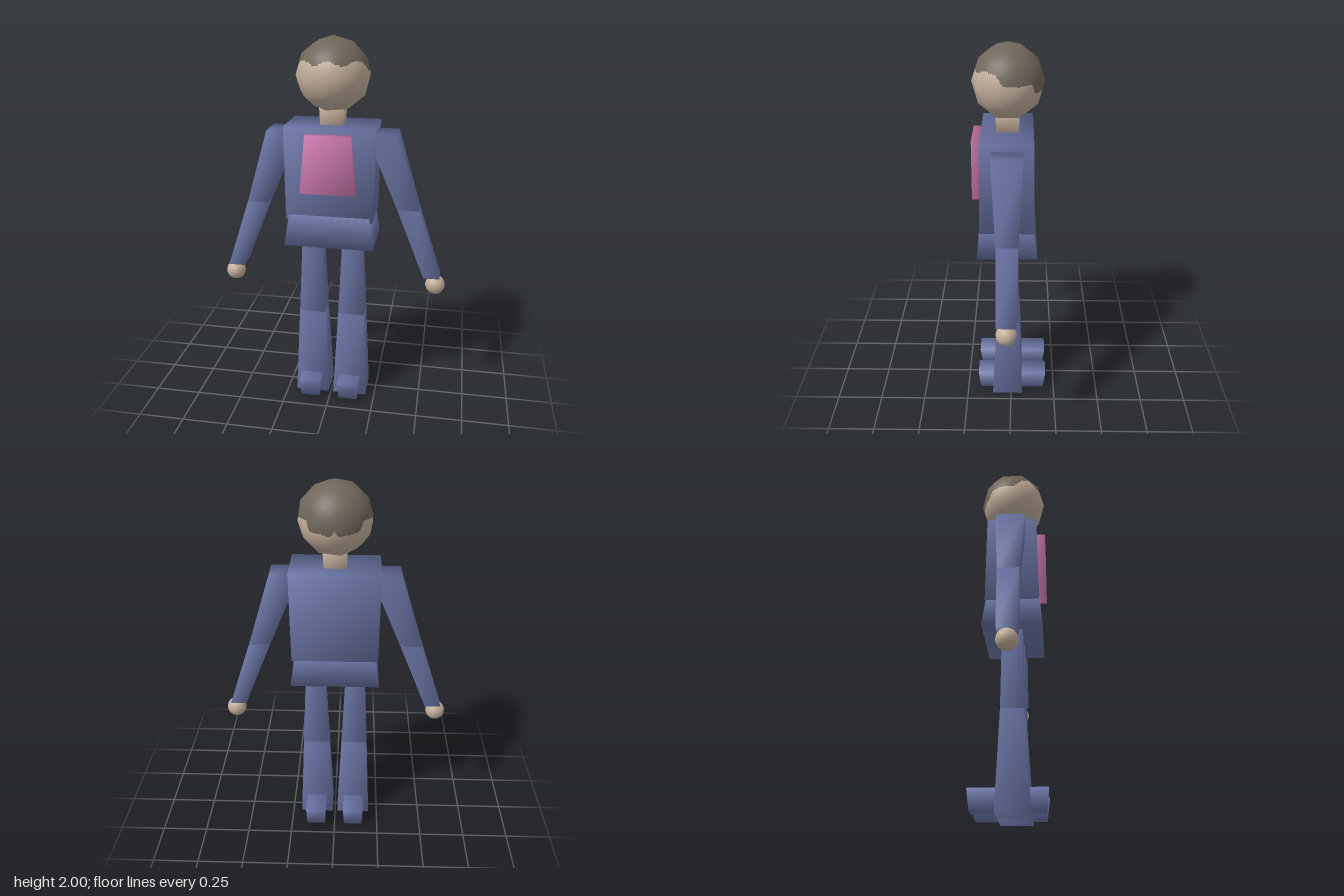
import * as THREE from 'three';
import { mergeVertices } from 'three/addons/utils/BufferGeometryUtils.js';

const material = (name, color) => {
  const m = new THREE.MeshStandardMaterial({ color });
  m.name = name;
  return m;
};

// Welds the corners so that shading runs softly over the edges
function soften(geometry) {
  geometry.deleteAttribute('normal');
  geometry.deleteAttribute('uv');
  const welded = mergeVertices(geometry, 1e-4);
  welded.computeVertexNormals();
  return welded;
}

// Tapered block between two level rectangles, each [y, x0, x1, z0, z1]
function block(name, mat, top, bottom, side = 1) {
  const g = new THREE.BoxGeometry(1, 1, 1);
  const p = g.attributes.position;
  const place = ([y, x0, x1, z0, z1], i) => {
    const [lo, hi] = side > 0 ? [x0, x1] : [-x1, -x0];
    p.setXYZ(i, p.getX(i) > 0 ? hi : lo, y, p.getZ(i) > 0 ? z1 : z0);
  };
  for (let i = 0; i < p.count; i++) place(p.getY(i) > 0 ? top : bottom, i);
  const mesh = new THREE.Mesh(soften(g), mat);
  mesh.name = name;
  return mesh;
}

// Hairline height at an angle in degrees away from the face
const HAIRLINE = [[0, 1.895], [25, 1.868], [50, 1.89], [70, 1.88], [85, 1.83],
  [130, 1.83], [138, 1.785], [174, 1.77], [180, 1.80]];
function hairline(angle) {
  let i = 1;
  while (i < HAIRLINE.length - 1 && HAIRLINE[i][0] < angle) i++;
  const [a0, y0] = HAIRLINE[i - 1], [a1, y1] = HAIRLINE[i];
  return THREE.MathUtils.mapLinear(angle, a0, a1, y0, y1);
}

// Faceted ball with a corner at the top; faces are split finely to cut the hairline
function makeHead(skin, hair) {
  const centre = new THREE.Vector3(0, 1.81, 0.015);
  const ball = new THREE.IcosahedronGeometry(0.19, 1);
  ball.rotateX(-Math.atan2((1 + Math.sqrt(5)) / 2, 1)).rotateY(Math.PI / 2).scale(1, 1, 0.95);
  const src = ball.attributes.position, n = 10;
  const sets = { skin: { p: [], n: [] }, hair: { p: [], n: [] } };
  for (let f = 0; f < src.count; f += 3) {
    const [a, b, c] = [0, 1, 2].map(k => new THREE.Vector3().fromBufferAttribute(src, f + k));
    const at = (i, j) => a.clone().multiplyScalar((n - i - j) / n)
      .addScaledVector(b, i / n).addScaledVector(c, j / n);
    const add = (...corners) => {
      const mid = corners[0].clone().add(corners[1]).add(corners[2]).divideScalar(3);
      const angle = THREE.MathUtils.radToDeg(Math.atan2(Math.abs(mid.x), mid.z));
      const set = mid.y + centre.y > hairline(angle) ? sets.hair : sets.skin;
      for (const v of corners) {
        set.n.push(...v.clone().normalize().toArray());
        set.p.push(...v.toArray());
      }
    };
    for (let i = 0; i < n; i++) {
      for (let j = 0; j < n - i; j++) {
        add(at(i, j), at(i + 1, j), at(i, j + 1));
        if (i + j < n - 1) add(at(i + 1, j), at(i + 1, j + 1), at(i, j + 1));
      }
    }
  }
  const head = new THREE.Group();
  head.name = 'head';
  head.position.copy(centre);
  for (const [name, mat, set] of [['face', skin, sets.skin], ['hair', hair, sets.hair]]) {
    const g = new THREE.BufferGeometry();
    g.setAttribute('position', new THREE.Float32BufferAttribute(set.p, 3));
    g.setAttribute('normal', new THREE.Float32BufferAttribute(set.n, 3));
    const mesh = new THREE.Mesh(g, mat);
    mesh.name = name;
    head.add(mesh);
  }
  return head;
}

export function createModel() {
  const model = new THREE.Group();
  model.name = 'figure';
  const blue = material('suit blue', 0x6a74a4);
  const pink = material('chest pink', 0xcb78ae);
  const skin = material('skin', 0xc2ae9a);
  const hair = material('hair brown', 0x70665a);

  // Trunk
  model.add(
    makeHead(skin, hair),
    block('neck', skin, [1.66, -0.062, 0.062, -0.042, 0.078], [1.54, -0.057, 0.057, -0.038, 0.073]),
    block('torso', blue, [1.565, -0.232, 0.232, -0.113, 0.152], [1.08, -0.226, 0.226, -0.122, 0.16]),
    block('hips', blue, [1.105, -0.21, 0.21, -0.115, 0.161], [0.935, -0.235, 0.235, -0.137, 0.176]),
    block('chestPack', pink, [1.535, -0.115, 0.115, 0.13, 0.198], [1.235, -0.143, 0.143, 0.13, 0.198]),
  );

  // Limbs, mirrored
  for (const [side, label] of [[1, 'left'], [-1, 'right']]) {
    const elbow = [1.13, 0.345, 0.457, -0.04, 0.07];
    const knee = [0.5, 0.037, 0.18, -0.042, 0.077];
    model.add(
      block(label + 'UpperArm', blue, [1.53, 0.18, 0.334, -0.061, 0.095], elbow, side),
      block(label + 'Forearm', blue, elbow, [0.75, 0.497, 0.583, -0.032, 0.068], side),
      block(label + 'Thigh', blue, [1.0, 0.06, 0.157, -0.035, 0.07], knee, side),
      block(label + 'Shin', blue, knee, [0, 0.013, 0.2, -0.066, 0.105], side),
      block(label + 'Foot', blue, [0.118, 0.05, 0.165, -0.2, 0.188], [0.012, 0.056, 0.159, -0.187, 0.175], side),
    );
    const hand = new THREE.Mesh(new THREE.SphereGeometry(0.053, 16, 12), skin);
    hand.name = label + 'Hand';
    hand.position.set(side * 0.56, 0.697, 0.018);
    model.add(hand);
  }
  return model;
}
